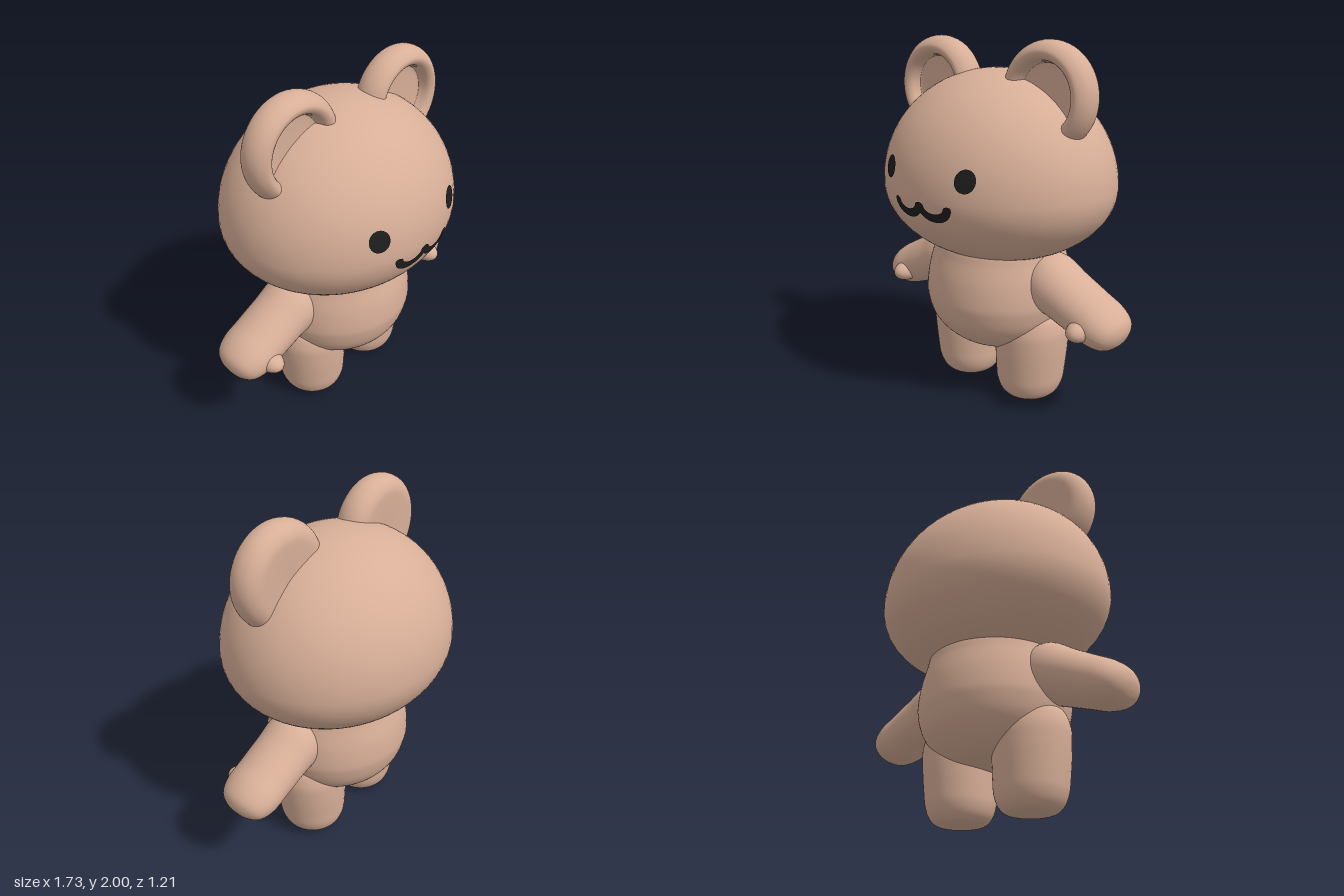
import * as THREE from 'three';

const fur = new THREE.MeshStandardMaterial({ color: 0xd8af98 });
fur.name = 'tanFur';
const ink = new THREE.MeshStandardMaterial({ color: 0x1e1e1e });
ink.name = 'blackInk';

// Head: an ellipsoid with a tall top half and a shallow bottom half
const HEAD = { x: -0.005, y: 1.22, rx: 0.69, rz: 0.6, top: 0.62, bottom: 0.43 };

// Moves every vertex by a rule and rebuilds smooth normals
function reshape(geometry, rule) {
  const p = geometry.attributes.position;
  const v = new THREE.Vector3();
  for (let i = 0; i < p.count; i++) {
    v.fromBufferAttribute(p, i);
    rule(v);
    p.setXYZ(i, v.x, v.y, v.z);
  }
  geometry.computeVertexNormals();
  return geometry;
}

// Smooth turned form from a few [radius, height] points
function turned(points, segments = 48) {
  const curve = new THREE.SplineCurve(points.map(([r, y]) => new THREE.Vector2(r, y)));
  const profile = curve.getPoints(points.length * 5);
  profile.forEach((p) => { p.x = Math.max(p.x, 0); });
  return new THREE.LatheGeometry(profile, segments);
}

// Depth of the face surface at x, y
function faceZ(x, y) {
  const dy = y - HEAD.y;
  const a = (x - HEAD.x) / HEAD.rx;
  const b = dy / (dy > 0 ? HEAD.top : HEAD.bottom);
  return HEAD.rz * Math.sqrt(Math.max(0, 1 - a * a - b * b));
}

export function createModel() {
  const model = new THREE.Group();
  model.name = 'toyBear';
  const add = (name, geometry, material = fur) => {
    const mesh = new THREE.Mesh(geometry, material);
    mesh.name = name;
    model.add(mesh);
    return mesh;
  };

  // Head
  const head = new THREE.SphereGeometry(1, 64, 48);
  const hp = head.attributes.position;
  const hn = head.attributes.normal;
  for (let i = 0; i < hp.count; i++) {
    const h = hp.getY(i) > 0 ? HEAD.top : HEAD.bottom;
    const n = new THREE.Vector3(hp.getX(i) / HEAD.rx, hp.getY(i) / h, hp.getZ(i) / HEAD.rz).normalize();
    hn.setXYZ(i, n.x, n.y, n.z);
    hp.setXYZ(i, HEAD.x + hp.getX(i) * HEAD.rx, HEAD.y + hp.getY(i) * h, hp.getZ(i) * HEAD.rz);
  }
  add('head', head);

  // Round-bellied body
  const body = turned([
    [0, 0.26], [0.2, 0.29], [0.32, 0.36], [0.395, 0.45], [0.427, 0.55],
    [0.43, 0.62], [0.417, 0.72], [0.39, 0.82], [0.365, 0.9], [0.28, 1.0],
  ], 64);
  body.scale(1, 1, 0.94);
  add('body', body);

  for (const s of [1, -1]) {
    const side = s > 0 ? 'left' : 'right';

    // Leg, leaning out towards the hip
    const leg = turned([
      [0, 0], [0.11, 0], [0.16, 0.03], [0.188, 0.09], [0.198, 0.17],
      [0.207, 0.33], [0.2, 0.44], [0.15, 0.53], [0, 0.57],
    ]);
    reshape(leg, (v) => { v.x += s * (0.235 + 0.04 * v.y); });
    add(side + 'Leg', leg);

    // Arm, widening in depth towards the hand
    const arm = turned([
      [0, -0.12], [0.11, -0.09], [0.165, 0], [0.15, 0.15], [0.136, 0.3],
      [0.126, 0.41], [0.098, 0.49], [0.05, 0.528], [0, 0.537],
    ]);
    reshape(arm, (v) => { v.z *= 1 + 0.75 * Math.max(v.y, 0); });
    const armMesh = add(side + 'Arm', arm);
    armMesh.position.set(s * 0.36, 0.72, 0);
    armMesh.rotation.z = -s * 1.985;

    // Thumb
    const thumb = add(side + 'Thumb', new THREE.SphereGeometry(1, 24, 16));
    thumb.scale.set(0.065, 0.06, 0.095);
    thumb.position.set(s * 0.675, 0.55, 0.125);

    // Ear with a rolled rim and a sunken middle
    const ear = turned([
      [0, -0.035], [0.15, -0.04], [0.22, -0.035], [0.265, 0], [0.28, 0.055],
      [0.265, 0.11], [0.225, 0.145], [0.188, 0.13], [0.17, 0.085], [0.15, 0.07], [0, 0.065],
    ], 56);
    ear.rotateX(Math.PI / 2);
    add(side + 'Ear', ear).position.set(s * 0.39, 1.72, 0);

    // Eye, a thin disc laid over the face
    const eye = new THREE.RingGeometry(0.0001, 1, 32, 4);
    reshape(eye, (v) => {
      v.set(s * 0.275 - 0.008 + v.x * 0.054, 1.342 + v.y * 0.059, 0);
      v.z = faceZ(v.x, v.y) + 0.005;
    });
    add(side + 'Eye', eye, ink);

    // Half of the mouth, a curved ribbon with round ends
    const mouth = new THREE.PlaneGeometry(1, 1, 48, 4);
    reshape(mouth, (v) => {
      const t = v.x * 2;
      const angle = -Math.PI / 2 + t * 1.75;
      const end = Math.max(0, (Math.abs(t) - 0.84) / 0.16);
      const w = v.y * 0.046 * Math.sqrt(Math.max(0, 1 - end * end));
      const c = Math.cos(angle), n = Math.sin(angle);
      v.x = s * 0.093 + c * (0.087 - w);
      v.y = 1.197 + n * (0.062 - w);
      v.z = faceZ(v.x, v.y) + 0.006;
    });
    add(side + 'Mouth', mouth, ink);
  }

  return model;
}
